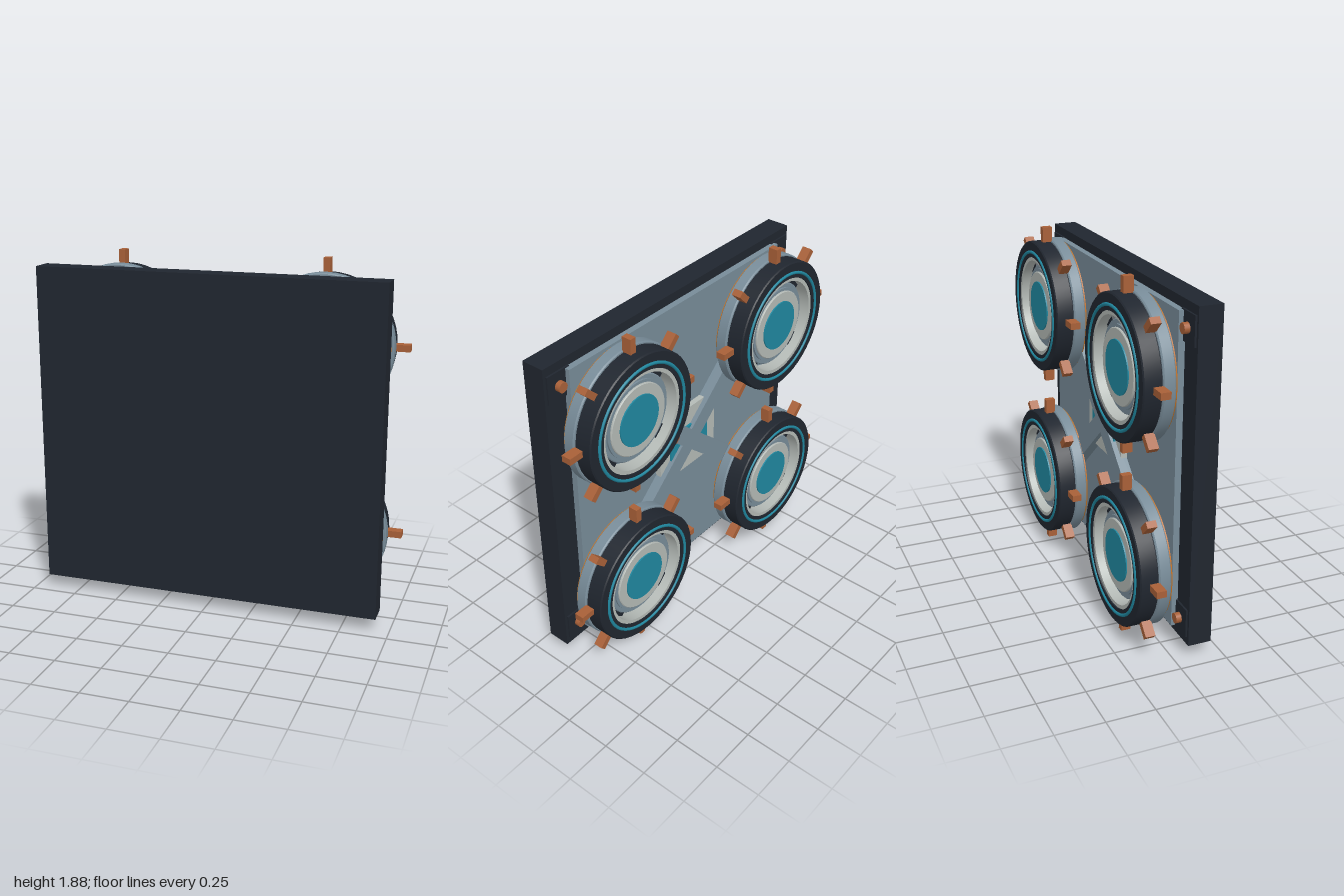
import * as THREE from 'three';
import { toCreasedNormals } from 'three/addons/utils/BufferGeometryUtils.js';

const mat = (color) => new THREE.MeshStandardMaterial({ color });
const DARK = mat(0x20262f), STEEL = mat(0x788c99), PALE = mat(0xb4bab6),
  COPPER = mat(0xa86038), ORANGE = mat(0xc27020), TEAL = mat(0x2088a0);

const CY = 0.94; // height of the panel centre

function add(parent, name, geometry, material, x = 0, y = 0, z = 0) {
  const mesh = new THREE.Mesh(geometry, material);
  mesh.name = name;
  mesh.position.set(x, y, z);
  parent.add(mesh);
  return mesh;
}

// Box given by its size in x and y and its z range
function slab(parent, name, w, h, z0, z1, material, x = 0, y = CY) {
  return add(parent, name, new THREE.BoxGeometry(w, h, z1 - z0), material, x, y, (z0 + z1) / 2);
}

// Ring about the z axis; a and b are depths towards the back (-z), bevel softens the outer edges
function ring(parent, name, ri, ro, a, b, material, bevel = 0) {
  const pts = [[ri, a], [ro - bevel, a], [ro, a + bevel], [ro, b - bevel], [ro - bevel, b], [ri, b], [ri, a]]
    .filter((p, i, all) => i === 0 || p[0] !== all[i - 1][0] || p[1] !== all[i - 1][1])
    .map((p) => new THREE.Vector2(...p));
  const g = toCreasedNormals(new THREE.LatheGeometry(pts, 48).rotateX(-Math.PI / 2), 0.5);
  return add(parent, name, g, material);
}

function disc(parent, name, r, a, b, material, sides = 48) {
  const g = new THREE.CylinderGeometry(r, r, b - a, sides).rotateX(-Math.PI / 2);
  return add(parent, name, g, material, 0, 0, -(a + b) / 2);
}

function createWheel() {
  const wheel = new THREE.Group();
  wheel.name = 'wheel';
  disc(wheel, 'axle', 0.064, -0.04, 0.03, COPPER, 32);
  ring(wheel, 'innerGlowRing', 0.3, 0.355, 0.018, 0.035, ORANGE);
  ring(wheel, 'rim', 0.25, 0.37, 0.028, 0.092, STEEL, 0.006);
  ring(wheel, 'tyre', 0.272, 0.36, 0.09, 0.187, DARK, 0.006);
  ring(wheel, 'liner', 0.252, 0.274, 0.085, 0.18, PALE);
  const band = new THREE.TorusGeometry(0.3, 0.009, 8, 64);
  add(wheel, 'tealBand', band, TEAL, 0, 0, -0.186);

  // Stepped hub
  disc(wheel, 'backPlate', 0.26, 0.03, 0.1, STEEL);
  ring(wheel, 'hubStep', 0.17, 0.23, 0.09, 0.14, STEEL, 0.005);
  ring(wheel, 'hubCollar', 0.16, 0.205, 0.1, 0.15, STEEL);
  ring(wheel, 'hubRing', 0.13, 0.19, 0.1, 0.16, PALE, 0.004);
  disc(wheel, 'hubCap', 0.135, 0.1, 0.167, TEAL);

  for (let i = 0; i < 8; i++) {
    const a = (i * Math.PI) / 4;
    // Studs around the tyre
    const stud = add(wheel, 'stud', new THREE.BoxGeometry(0.1, 0.035, 0.052), COPPER,
      Math.cos(a) * 0.39, Math.sin(a) * 0.39, -0.113);
    stud.rotation.z = a;
    // Short dark blades in the recess
    if (i % 2) {
      const blade = add(wheel, 'blade', new THREE.BoxGeometry(0.035, 0.08, 0.03), DARK,
        Math.cos(a) * 0.24, Math.sin(a) * 0.24, -0.115);
      blade.rotation.z = a;
    }
  }
  return wheel;
}

export function createModel() {
  const model = new THREE.Group();
  model.name = 'wheeledPanel';

  slab(model, 'panel', 1.86, 1.74, 0.07, 0.194, DARK);
  slab(model, 'mountingPlate', 1.6, 1.64, 0.036, 0.07, STEEL);

  // Crossed arms joining the wheel axles
  for (const s of [-1, 1]) {
    const arm = slab(model, 'crossArm', 1.5, 0.1, -0.023, 0.036, STEEL);
    arm.rotation.z = s * Math.atan2(1, 1.12);
  }
  slab(model, 'centrePlate', 0.45, 0.38, 0.004, 0.037, PALE);
  slab(model, 'centreWindow', 0.3, 0.17, -0.008, 0.02, TEAL);

  for (const sx of [-1, 1]) {
    for (const sy of [-1, 1]) {
      const wheel = createWheel();
      wheel.position.set(sx * 0.56, CY + sy * 0.5, 0);
      model.add(wheel);
      // Corner pad and bolt
      slab(model, 'cornerPad', 0.14, 0.15, 0.06, 0.074, DARK, sx * 0.845, CY + sy * 0.75);
      const bolt = new THREE.CylinderGeometry(0.027, 0.027, 0.045, 16).rotateX(Math.PI / 2);
      add(model, 'bolt', bolt, COPPER, sx * 0.845, CY + sy * 0.75, 0.054);
    }
  }
  return model;
}
